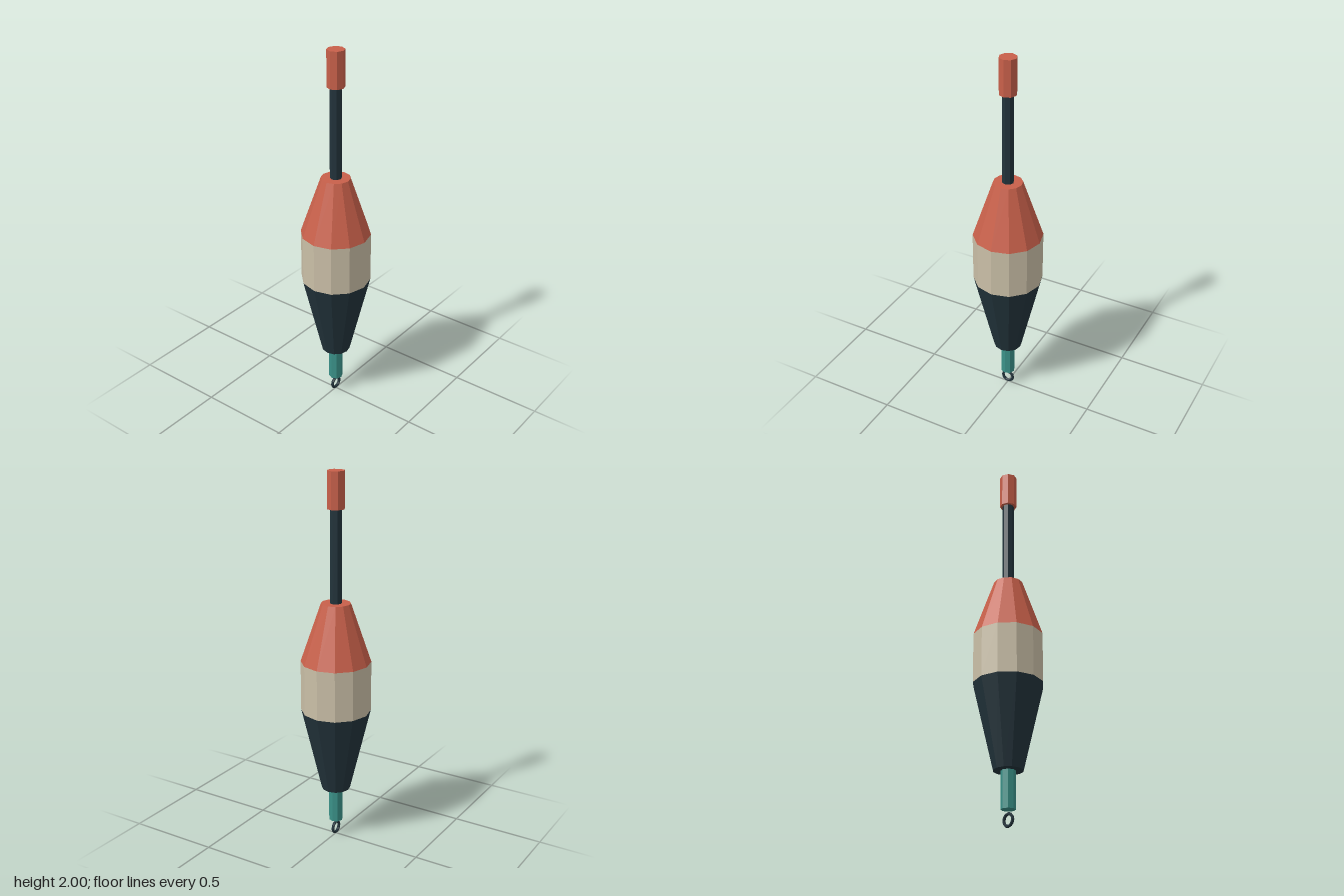
import * as THREE from 'three';

const RED = 0xc8604a, CREAM = 0xcabfa7, DARK = 0x22333b, TEAL = 0x3a9188;

export function createModel() {
  const model = new THREE.Group();
  model.name = 'fishingFloat';

  const material = (color) => new THREE.MeshStandardMaterial({ color, flatShading: true });
  const materials = { red: material(RED), cream: material(CREAM), dark: material(DARK), teal: material(TEAL) };

  // Tapered section standing between two heights
  function section(name, mat, y0, y1, r0, r1, sides) {
    const mesh = new THREE.Mesh(new THREE.CylinderGeometry(r1, r0, y1 - y0, sides), materials[mat]);
    mesh.position.y = (y0 + y1) / 2;
    mesh.name = name;
    model.add(mesh);
  }

  // Twelve-sided body in three colour bands
  section('lowerBody', 'dark', 0.285, 0.74, 0.077, 0.185, 12);
  section('middleBand', 'cream', 0.74, 1.01, 0.185, 0.185, 12);
  section('upperBody', 'red', 1.01, 1.326, 0.185, 0.077, 12);

  // Antenna, its tip and the bottom plug
  section('antenna', 'dark', 1.326, 1.81, 0.031, 0.031, 8);
  section('antennaTip', 'red', 1.81, 2, 0.046, 0.046, 8);
  section('bottomPlug', 'teal', 0.09, 0.285, 0.038, 0.038, 8);

  // Line ring hanging below the plug
  const ring = new THREE.Mesh(new THREE.TorusGeometry(0.031, 0.008, 6, 12), materials.dark);
  ring.position.y = 0.039;
  ring.name = 'lineRing';
  model.add(ring);

  return model;
}
